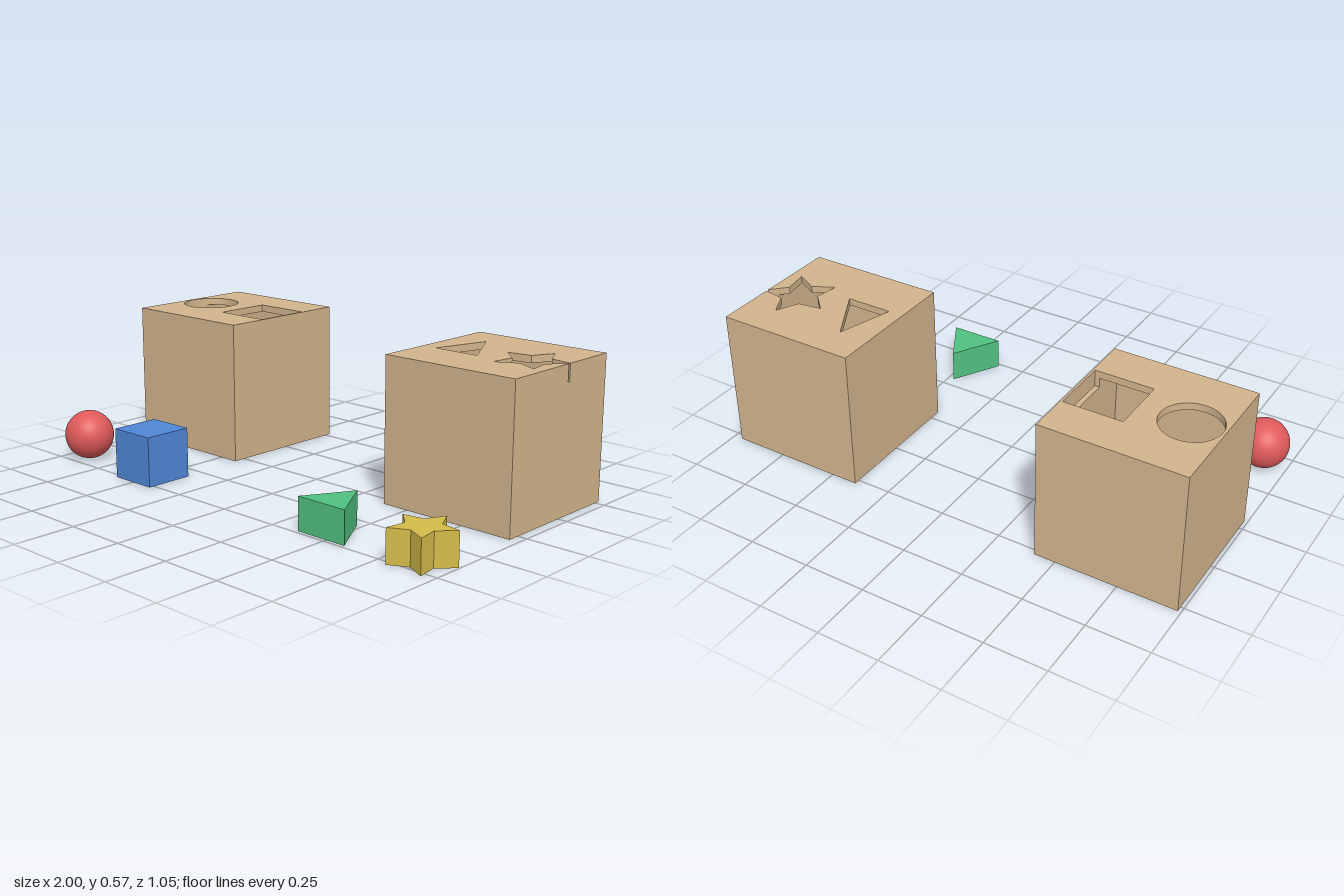
import * as THREE from 'three';
import { mergeGeometries } from 'three/addons/utils/BufferGeometryUtils.js';

const mat = (name, color) => Object.assign(new THREE.MeshStandardMaterial({ color }), { name });

const HALF = 0.286, HEIGHT = 0.572, WALL = 0.0286; // box half width, height, wall thickness
const CEILING = HEIGHT - WALL, LEDGE = 0.505;      // underside of lid, depth of the cuts
const BOX_Z = -0.237;

// Ring of [x, z] points whose radius cycles through the given radii
function ring(cx, cz, radii, count, start) {
  return Array.from({ length: count }, (_, i) => {
    const a = start + (i * 2 * Math.PI) / count, r = radii[i % radii.length];
    return [cx + r * Math.cos(a), cz + r * Math.sin(a)];
  });
}

// Flat polygon placed in space by map(u, v), wound to face the normal
function face(points, holes, map, normal) {
  const toV = (list) => list.map(([u, v]) => new THREE.Vector2(u, v));
  const tris = THREE.ShapeUtils.triangulateShape(toV(points), holes.map(toV));
  const all = [...points, ...holes.flat()].map(([u, v]) => new THREE.Vector3(...map(u, v)));
  const out = [];
  for (const [i, j, k] of tris) {
    const [a, b, c] = [all[i], all[j], all[k]];
    const n = b.clone().sub(a).cross(c.clone().sub(a));
    out.push(...(n.dot(normal) > 0 ? [a, b, c] : [a, c, b]));
  }
  const g = new THREE.BufferGeometry().setFromPoints(out);
  g.computeVertexNormals();
  return g;
}

const UP = new THREE.Vector3(0, 1, 0), DOWN = new THREE.Vector3(0, -1, 0);
const level = (points, holes, y, normal) => face(points, holes, (x, z) => [x, y, z], normal);

// Keep the part of a polygon where side * (x - c) <= 0
function clip(points, c, side) {
  const out = [];
  points.forEach((p, i) => {
    const q = points[(i + 1) % points.length];
    const dp = side * (p[0] - c), dq = side * (q[0] - c);
    if (dp <= 0) out.push(p);
    if (dp * dq < 0) out.push([c, p[1] + ((q[1] - p[1]) * dp) / (dp - dq)]);
  });
  return out;
}

// Square outline, with cut-outs let into its +x and -x edges
function square(cx, h, cuts) {
  const sorted = (side) => {
    const cut = cuts[side] || [];
    return cut.length && (cut[0][1] - cut.at(-1)[1]) * side > 0 ? [...cut].reverse() : cut;
  };
  return [[cx + h, BOX_Z - h], ...sorted(1), [cx + h, BOX_Z + h],
    [cx - h, BOX_Z + h], ...sorted(-1), [cx - h, BOX_Z - h]];
}

// Four upright walls, notched from the top where a cut passes through
function walls(cx, h, y0, y1, cuts, facing) {
  return [1, -1].flatMap((s) => {
    const [z0, z1] = [BOX_Z - h, BOX_Z + h];
    let notch = [];
    if (cuts[s]) {
      const [a, b] = [cuts[s][0][1], cuts[s].at(-1)[1]].sort((p, q) => p - q);
      notch = [[b, y1], [b, LEDGE], [a, LEDGE], [a, y1]];
    }
    return [
      face([[z0, y0], [z1, y0], [z1, y1], ...notch, [z0, y1]], [],
        (z, y) => [cx + s * h, y, z], new THREE.Vector3(s * facing, 0, 0)),
      face([[cx - h, y0], [cx + h, y0], [cx + h, y1], [cx - h, y1]], [],
        (x, y) => [x, y, BOX_Z + s * h], new THREE.Vector3(0, 0, s * facing)),
    ];
  });
}

// Hollow box with shaped openings; side tells which wall an opening cuts into
function sorterBox(name, cx, openings, material) {
  const parts = [], inH = HALF - WALL;
  const topCuts = {}, topHoles = [], ceilCuts = {}, ceilHoles = [];

  for (const { points, side, centre } of openings) {
    const F = cx + side * HALF, C = cx + side * inH;
    const opening = side ? clip(points, F, side) : points;
    const inner = side ? clip(points, C, side) : points;
    const outer = side ? clip(opening, C, -side) : [];
    if (side && points.some((p) => side * (p[0] - F) > 0)) topCuts[side] = opening;
    else topHoles.push(opening);
    if (side) ceilCuts[side] = inner;
    else ceilHoles.push(inner);

    // Sides of the cut: thin through the lid, deeper where it enters the wall
    for (const [poly, bottom] of [[inner, CEILING], [outer, LEDGE]]) {
      poly.forEach((p, i) => {
        const q = poly[(i + 1) % poly.length];
        const on = (c) => Math.abs(p[0] - c) < 1e-6 && Math.abs(q[0] - c) < 1e-6;
        if (side && (on(C) || on(F))) return;
        const n = new THREE.Vector3(q[1] - p[1], 0, p[0] - q[0]);
        if (n.x * (centre[0] - p[0]) + n.z * (centre[1] - p[1]) < 0) n.negate();
        parts.push(face([[0, bottom], [1, bottom], [1, HEIGHT], [0, HEIGHT]], [],
          (t, y) => [p[0] + (q[0] - p[0]) * t, y, p[1] + (q[1] - p[1]) * t], n));
      });
    }
    if (outer.length) parts.push(level(outer, [], LEDGE, UP));
  }

  parts.push(
    level(square(cx, HALF, topCuts), topHoles, HEIGHT, UP),
    level(square(cx, inH, ceilCuts), ceilHoles, CEILING, DOWN),
    level(square(cx, inH, {}), [], WALL, UP),
    level(square(cx, HALF, {}), [], 0, DOWN),
    ...walls(cx, HALF, 0, HEIGHT, topCuts, 1),
    ...walls(cx, inH, WALL, CEILING, ceilCuts, -1),
  );
  const mesh = new THREE.Mesh(mergeGeometries(parts), material);
  mesh.name = name;
  return mesh;
}

// Upright prism standing on the ground
function prism(points, height) {
  const shape = new THREE.Shape(points.map(([x, z]) => new THREE.Vector2(x, -z)));
  return new THREE.ExtrudeGeometry(shape, { depth: height, bevelEnabled: false }).rotateX(-Math.PI / 2);
}

export function createModel() {
  const group = new THREE.Group();
  group.name = 'shapeSorter';
  const wood = mat('wood', 0xd2b48c);
  const add = (name, geometry, material) => {
    const m = new THREE.Mesh(geometry, material);
    m.name = name;
    group.add(m);
  };
  const starStart = -Math.PI / 10;

  // Boxes
  const sq = 0.118, sx = -0.542;
  group.add(sorterBox('roundAndSquareBox', -0.701, [
    { points: ring(-0.859, BOX_Z, [0.117], 64, Math.PI), side: -1, centre: [-0.859, BOX_Z] },
    { points: [[sx + sq, BOX_Z + sq], [sx - sq, BOX_Z + sq], [sx - sq, BOX_Z - sq], [sx + sq, BOX_Z - sq]],
      side: 1, centre: [sx, BOX_Z] },
  ], wood));
  group.add(sorterBox('triangleAndStarBox', 0.676, [
    { points: [[0.52, -0.385], [0.643, -0.164], [0.453, -0.164]], side: 0, centre: [0.539, -0.238] },
    { points: ring(0.832, -0.238, [0.146, 0.074], 10, starStart), side: 1, centre: [0.832, -0.238] },
  ], wood));

  // Loose blocks
  add('ball', new THREE.SphereGeometry(0.1, 48, 32).translate(-0.9, 0.1, 0.422), mat('red', 0xe05a5a));
  add('cubeBlock', new THREE.BoxGeometry(0.2, 0.2, 0.2).translate(-0.5, 0.1, 0.422), mat('blue', 0x4f86d6));
  add('triangleBlock', prism(ring(0.475, 0.422, [0.127], 3, -Math.PI / 2), 0.13), mat('green', 0x50c080));
  add('starBlock', prism(ring(0.877, 0.422, [0.127, 0.065], 10, starStart), 0.13), mat('yellow', 0xd4bc4a));
  return group;
}
